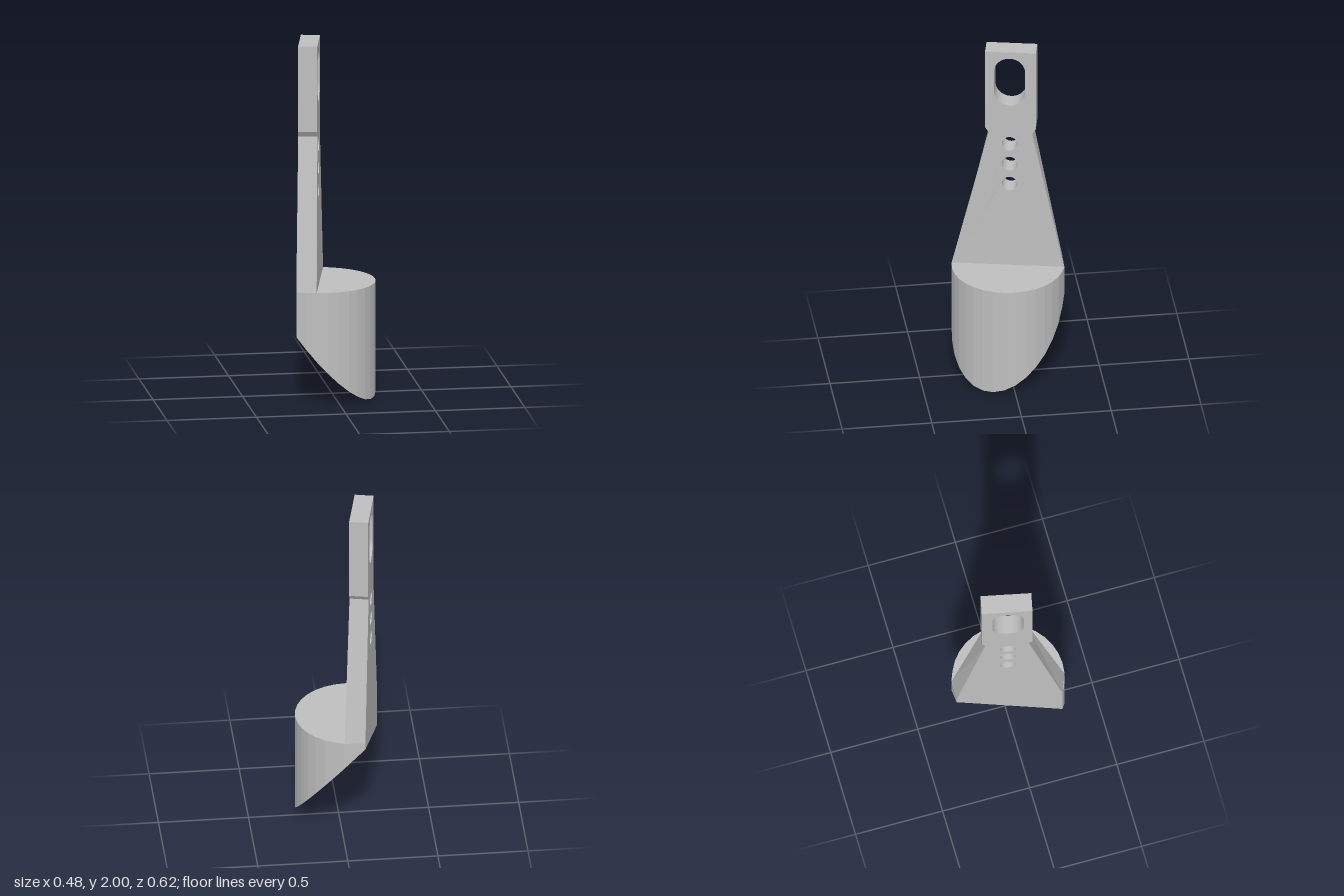
import * as THREE from 'three';

const metal = new THREE.MeshStandardMaterial({ color: 0xbfbfbf, side: THREE.DoubleSide });
metal.name = 'light grey';

const RIM = 0.645;                       // height of the cup's flat top
const CX = -0.07, R = 0.311;             // cup circle centre (x) and radius
const SLOPE = 1.19, DIR = Math.PI / 6;   // slanted underside: steepness and downhill heading
const underside = (x, z) =>
  SLOPE * (R - ((x - CX) * Math.cos(DIR) + z * Math.sin(DIR)));

function add(group, name, geometry) {
  const mesh = new THREE.Mesh(geometry, metal);
  mesh.name = name;
  group.add(mesh);
  return mesh;
}

// Tapered upright with a slot and three round holes
function uprightGeometry() {
  const shape = new THREE.Shape([
    [-0.307, RIM], [0.28, RIM], [0.12, 1.485], [0.14, 1.515],
    [0.14, 2], [-0.141, 2], [-0.141, 1.515], [-0.121, 1.485],
  ].map(([u, y]) => new THREE.Vector2(u, y)));
  const u = -0.005, r = 0.086;
  const slot = new THREE.Path();
  slot.absarc(u, 1.96 - r, r, 0, Math.PI, false);
  slot.absarc(u, 1.66 + r, r, Math.PI, Math.PI * 2, false);
  slot.closePath();
  shape.holes.push(slot);
  for (const y of [1.16, 1.288, 1.415]) {
    const hole = new THREE.Path();
    hole.absarc(u, y, 0.043, 0, Math.PI * 2, false);
    shape.holes.push(hole);
  }
  const g = new THREE.ExtrudeGeometry(shape, { depth: 0.106, bevelEnabled: false, curveSegments: 16 });
  // the foot flares slightly on its inner face to meet the rim
  const p = g.attributes.position;
  for (let i = 0; i < p.count; i++) {
    if (p.getY(i) < RIM + 0.01 && p.getZ(i) > 0.05) {
      p.setX(i, p.getX(i) * 1.06);
      p.setZ(i, p.getZ(i) + 0.008);
    }
  }
  g.computeVertexNormals();
  g.translate(0, 0, -0.18);
  g.rotateY(Math.acos(0.21));
  return g;
}

// D-shaped plan of the cup, as [x, z]
function cupOutline() {
  const points = [[-0.24, 0.262]];
  for (let i = 10; i >= -6; i--) {
    const a = (i * Math.PI) / 16;
    points.push([CX + R * Math.cos(a), R * Math.sin(a)]);
  }
  points.push([0.003, -0.306], [-0.117, -0.311]);
  return points;
}

// Vertical wall from the rim down to the slanted underside
function wallGeometry(outline) {
  const v = [];
  outline.forEach(([x0, z0], i) => {
    const [x1, z1] = outline[(i + 1) % outline.length];
    const a = [x0, RIM, z0], b = [x1, RIM, z1];
    const c = [x1, underside(x1, z1), z1], d = [x0, underside(x0, z0), z0];
    v.push(...a, ...d, ...c, ...a, ...c, ...b);
  });
  const g = new THREE.BufferGeometry();
  g.setAttribute('position', new THREE.Float32BufferAttribute(v, 3));
  g.computeVertexNormals();
  return g;
}

export function createModel() {
  const model = new THREE.Group();
  model.name = 'slottedBracket';
  add(model, 'upright', uprightGeometry());

  const cup = new THREE.Group();
  cup.name = 'cup';
  model.add(cup);
  const outline = cupOutline();
  add(cup, 'cupWall', wallGeometry(outline));

  // flat top
  const top = new THREE.ShapeGeometry(new THREE.Shape(outline.map(([x, z]) => new THREE.Vector2(x, -z))));
  top.rotateX(-Math.PI / 2).translate(0, RIM, 0);
  add(cup, 'cupTop', top);

  // slanted underside, pierced by a round pocket square to the slope
  const hx = 0.022, hz = 0.078, hr = 0.0975, depth = 0.13;
  const inward = new THREE.Vector3(SLOPE * Math.cos(DIR), 1, SLOPE * Math.sin(DIR)).normalize();
  const face = new THREE.Shape(outline.map(([x, z]) => new THREE.Vector2(x, z)));
  const opening = new THREE.Path();
  opening.absellipse(hx, hz, hr * inward.y, hr, 0, Math.PI * 2, false, DIR);
  face.holes.push(opening);
  const bottom = new THREE.ShapeGeometry(face, 16);
  bottom.rotateX(Math.PI / 2);
  const p = bottom.attributes.position;
  for (let i = 0; i < p.count; i++) p.setY(i, underside(p.getX(i), p.getZ(i)));
  bottom.computeVertexNormals();
  add(cup, 'cupUnderside', bottom);

  // pocket wall and floor
  const pocket = new THREE.Group();
  pocket.name = 'pocket';
  pocket.position.set(hx, underside(hx, hz), hz);
  pocket.quaternion.setFromUnitVectors(new THREE.Vector3(0, 1, 0), inward);
  cup.add(pocket);
  add(pocket, 'pocketWall', new THREE.CylinderGeometry(hr, hr, depth, 32, 1, true).translate(0, depth / 2, 0));
  add(pocket, 'pocketFloor', new THREE.CircleGeometry(hr, 32).rotateX(Math.PI / 2).translate(0, depth, 0));

  return model;
}
